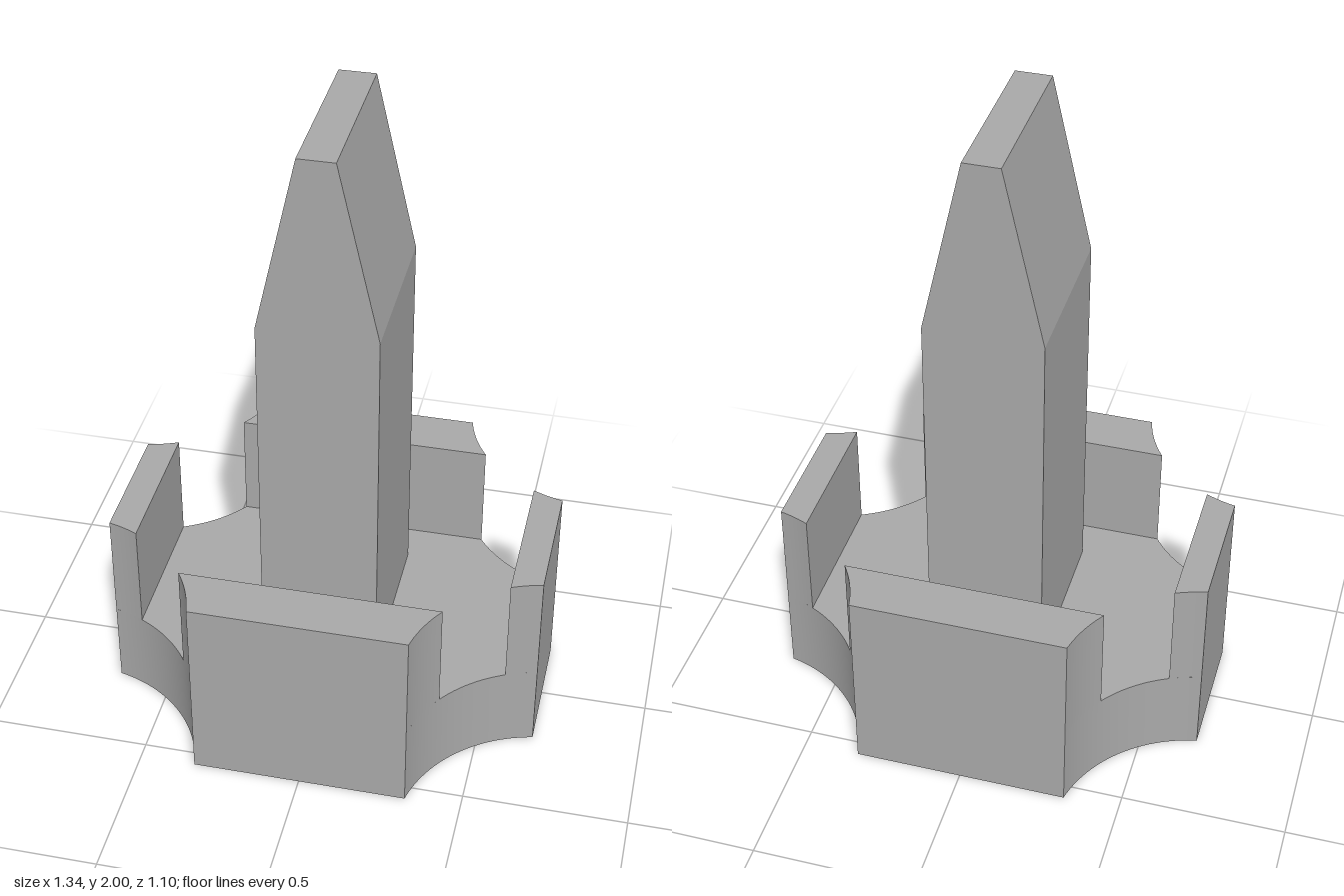
import * as THREE from 'three';
import { toCreasedNormals } from 'three/addons/utils/BufferGeometryUtils.js';

// Scooped corner: an arc centred outside the base at (CX, CZ)
const HX = 0.67, HZ = 0.548, CX = 0.763, CZ = 0.638, R = 0.4425;
const FLOOR = 0.275, RIM = 0.625;
const atX = x => Math.atan2(-Math.sqrt(R * R - (x - CX) ** 2), x - CX);
const atZ = z => Math.atan2(z - CZ, -Math.sqrt(R * R - (z - CZ) ** 2));

// Points along the corner arc between two angles, ends included
function arc(a0, a1, n) {
  const step = ((a1 - a0 - Math.PI * 3) % (Math.PI * 2) + Math.PI * 2) % (Math.PI * 2) - Math.PI;
  return Array.from({ length: n + 1 }, (_, i) => {
    const a = a0 + step * i / n;
    return new THREE.Vector2(CX + R * Math.cos(a), CZ + R * Math.sin(a));
  });
}

const mirror = (pts, sx, sy) => {
  const out = pts.map(p => new THREE.Vector2(p.x * sx, p.y * sy));
  return sx * sy < 0 ? out.reverse() : out;
};

// Upright prism from a plan outline
function prism(points, y0, y1) {
  const geo = new THREE.ExtrudeGeometry(new THREE.Shape(points), { depth: y1 - y0, bevelEnabled: false });
  geo.rotateX(-Math.PI / 2).translate(0, y0, 0);
  return toCreasedNormals(geo, 0.5);
}

export function createModel() {
  const group = new THREE.Group();
  const grey = new THREE.MeshStandardMaterial({ color: 0xa9a9a9 });
  grey.name = 'grey';
  const add = (name, geo, turn = 0) => {
    const mesh = new THREE.Mesh(geo, grey);
    mesh.name = name;
    mesh.rotation.y = turn;
    group.add(mesh);
  };

  // Base plate with four scooped corners
  const corner = arc(atX(HX), atZ(HZ), 24);
  const outline = [[1, 1], [-1, 1], [-1, -1], [1, -1]].flatMap(([sx, sy]) => mirror(corner, sx, sy));
  add('base', prism(outline, 0, FLOOR));

  // Raised walls on the four straight edges
  const longEnd = arc(atZ(0.386), atZ(HZ), 10);
  const longWall = prism([...longEnd, ...mirror(longEnd, -1, 1)], FLOOR, RIM);
  const shortEnd = arc(atX(HX), atX(0.576), 6);
  const shortWall = prism([...shortEnd, ...mirror(shortEnd, 1, -1)], FLOOR, RIM);
  add('backWall', longWall);
  add('frontWall', longWall, Math.PI);
  add('leftWall', shortWall);
  add('rightWall', shortWall, Math.PI);

  // Central blade tapering to a flat tip
  const profile = [[-0.178, FLOOR], [0.178, FLOOR], [0.178, 1.45], [0.055, 2], [-0.055, 2], [-0.178, 1.45]];
  const blade = new THREE.ExtrudeGeometry(
    new THREE.Shape(profile.map(([x, y]) => new THREE.Vector2(x, y))),
    { depth: 0.52, bevelEnabled: false });
  blade.translate(0, 0, -0.26);
  add('blade', blade);

  return group;
}
